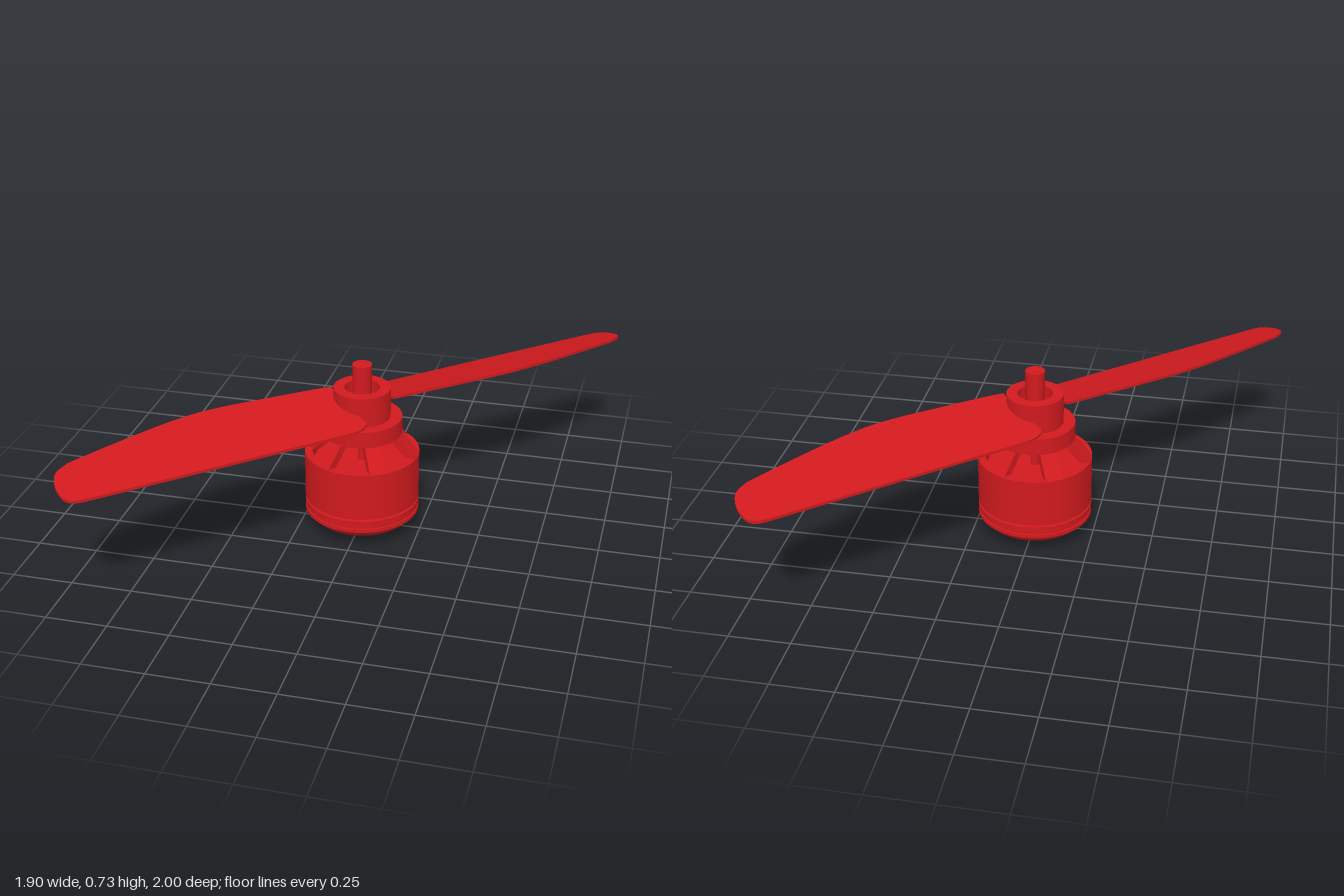
import * as THREE from 'three';
import { toCreasedNormals } from 'three/addons/utils/BufferGeometryUtils.js';

const material = new THREE.MeshStandardMaterial({ color: 0xd01a1e });

function add(parent, name, geometry) {
  const mesh = new THREE.Mesh(geometry, material);
  mesh.name = name;
  parent.add(mesh);
  return mesh;
}

// Turned part from [radius, height] points; outer faces run upwards.
function turned(points, segments = 64) {
  const profile = points.map(([r, y]) => new THREE.Vector2(r, y));
  return toCreasedNormals(new THREE.LatheGeometry(profile, segments), 0.5);
}

function rod(r, y0, y1) {
  return turned([[0, y0], [r, y0], [r, y1], [0, y1]], 32);
}

// Closed ring between two radii and two heights.
function ring(r0, r1, y0, y1) {
  return turned([[r0, y0], [r1, y0], [r1, y1], [r0, y1], [r0, y0]]);
}

// Flat blade outline: u runs along the blade, v across it.
function bladeGeometry() {
  const s = new THREE.Shape();
  s.moveTo(0.09, -0.05);
  s.quadraticCurveTo(0.06, -0.1, 0.06, -0.14);
  s.quadraticCurveTo(0.07, -0.178, 0.16, -0.178);
  s.lineTo(1.245, -0.178);
  s.splineThru([
    [1.29, -0.173], [1.318, -0.15], [1.328, -0.1], [1.32, -0.05], [1.295, -0.01], [1.24, 0.021],
  ].map((p) => new THREE.Vector2(...p)));
  s.splineThru([
    [1.05, 0.063], [0.854, 0.102], [0.7, 0.124], [0.57, 0.128], [0.43, 0.122], [0.168, 0.108], [0.09, 0.1],
  ].map((p) => new THREE.Vector2(...p)));
  s.closePath();
  const g = new THREE.ExtrudeGeometry(s, { depth: 0.012, bevelEnabled: false, curveSegments: 6 });
  // Turn into place and pitch so the curved edge rides higher
  const m = new THREE.Matrix4().set(
    0.739, 0.674, 0, 0,
    0, 0.27, -1, 0.58,
    -0.674, 0.739, 0, 0,
    0, 0, 0, 1,
  );
  return toCreasedNormals(g.applyMatrix4(m), 0.6);
}

export function createModel() {
  const model = new THREE.Group();
  model.name = 'propellerMotor';

  // Fixed base: grooved, chamfered rim around a drilled plate
  const base = new THREE.Group();
  base.name = 'motorBase';
  model.add(base);
  add(base, 'baseRim', turned([
    [0.19, 0.045], [0.2, 0.045], [0.237, 0.08], [0.237, 0.095], [0.229, 0.095],
    [0.229, 0.105], [0.237, 0.105], [0.237, 0.132], [0, 0.132],
  ]));
  const plate = new THREE.Shape().absarc(0, 0, 0.192, 0, Math.PI * 2);
  for (let i = 0; i < 4; i++) {
    const a = i * Math.PI / 2;
    plate.holes.push(new THREE.Path().absarc(0.14 * Math.cos(a), 0.14 * Math.sin(a), 0.017, 0, Math.PI * 2, true));
  }
  const plateGeometry = new THREE.ExtrudeGeometry(plate, { depth: 0.04, bevelEnabled: false, curveSegments: 24 });
  plateGeometry.rotateX(-Math.PI / 2).translate(0, 0.045, 0);
  add(base, 'basePlate', toCreasedNormals(plateGeometry, 0.6));

  // Stator core inside the bell
  add(model, 'stator', rod(0.2, 0.13, 0.3));

  // Rotating bell with six sloping spokes up to the collar
  const bell = new THREE.Group();
  bell.name = 'bell';
  model.add(bell);
  add(bell, 'bellWall', ring(0.205, 0.237, 0.142, 0.345));
  const profile = new THREE.Shape([
    [0.198, 0.335], [0.233, 0.345], [0.158, 0.435], [0.11, 0.435],
  ].map((p) => new THREE.Vector2(...p)));
  const spoke = new THREE.ExtrudeGeometry(profile, { depth: 0.07, bevelEnabled: false });
  spoke.translate(0, 0, -0.035);
  for (let i = 0; i < 6; i++) {
    add(bell, 'spoke', spoke).rotation.y = i * Math.PI / 3;
  }
  add(bell, 'collar', ring(0.038, 0.165, 0.432, 0.502));

  // Shafts and nut
  add(model, 'lowerShaft', rod(0.018, 0, 0.4));
  add(model, 'upperShaft', rod(0.04, 0.385, 0.73));
  add(model, 'shaftNut', ring(0.038, 0.055, 0.5, 0.59));

  // Propeller: hollow hub and two opposite blades
  const propeller = new THREE.Group();
  propeller.name = 'propeller';
  model.add(propeller);
  add(propeller, 'hub', ring(0.072, 0.117, 0.5, 0.628));
  const blade = bladeGeometry();
  for (let i = 0; i < 2; i++) {
    add(propeller, 'blade', blade).rotation.y = i * Math.PI;
  }
  return model;
}
